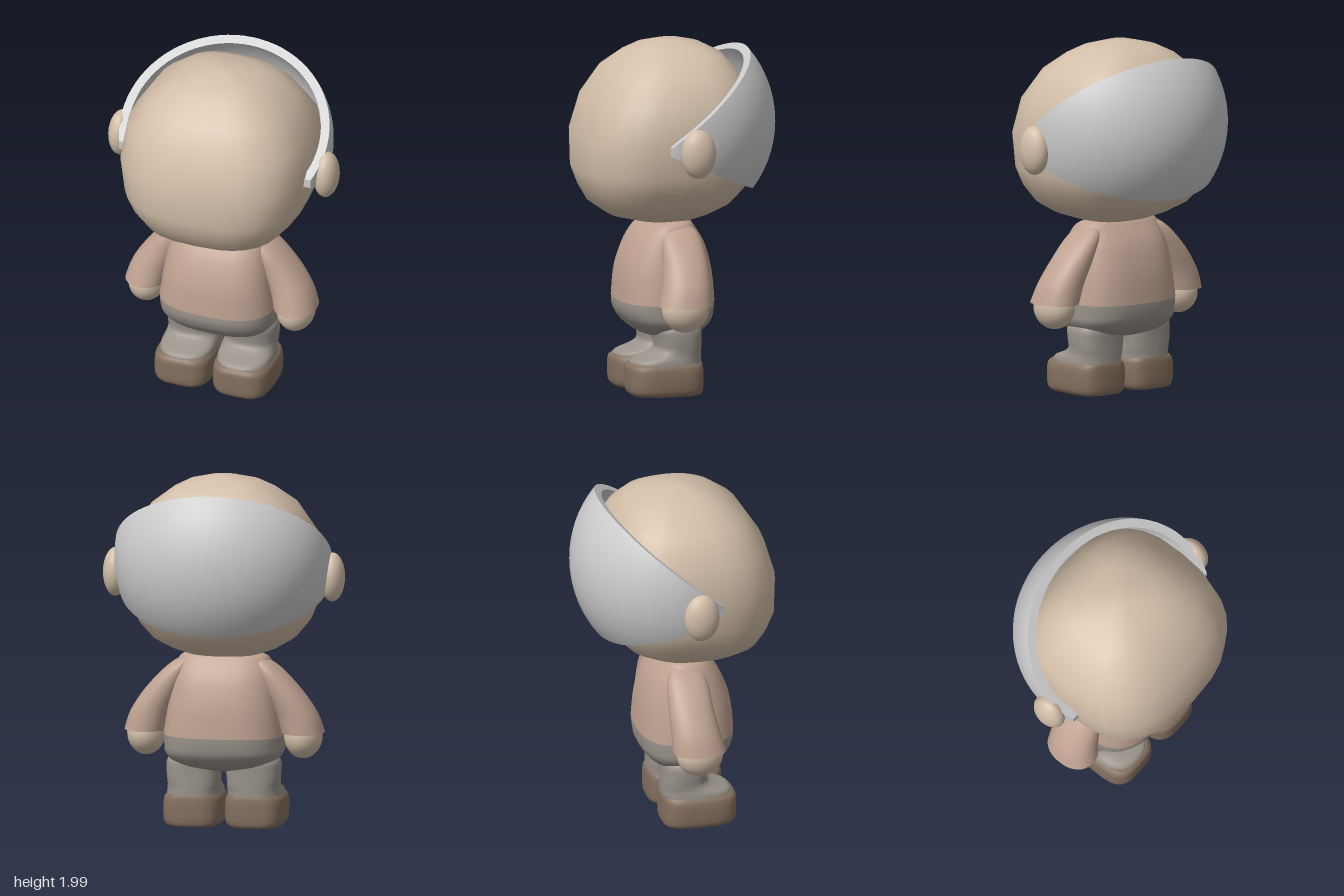
import * as THREE from 'three';
import { mergeGeometries } from 'three/addons/utils/BufferGeometryUtils.js';
import { ParametricGeometry } from 'three/addons/geometries/ParametricGeometry.js';

const material = (color) => new THREE.MeshStandardMaterial({ color, roughness: 0.8 });
const skin = material(0xd2bea8);
const shirt = material(0xbfa291);
const trousers = material(0x99938a);
const shoe = material(0x84705f);
const white = material(0xcccccc);
white.side = THREE.DoubleSide;

function add(group, name, geometry, mat) {
  const mesh = new THREE.Mesh(geometry, mat);
  mesh.name = name;
  group.add(mesh);
  return mesh;
}

// Stack of rounded-square rings; each section is [y, xMin, xMax, zMin, zMax].
// A smooth curve runs through the sections, with "rows" steps along it.
function loft(sections, { power = 2.5, segments = 32, rows = 0, flatEnds = false } = {}) {
  let rings = sections;
  if (rows) {
    rings = [];
    const last = sections.length - 1;
    for (let r = 0; r <= rows; r++) {
      const p = (r / rows) * last;
      const i = Math.min(Math.floor(p), last - 1);
      const f = p - i;
      const at = (n) => sections[Math.max(0, Math.min(last, n))];
      rings.push(sections[0].map((_, k) => {
        const [a, b, c, d] = [at(i - 1)[k], at(i)[k], at(i + 1)[k], at(i + 2)[k]];
        const m0 = (c - a) / 2, m1 = (d - b) / 2;
        return b + m0 * f + (3 * (c - b) - 2 * m0 - m1) * f * f + (2 * (b - c) + m0 + m1) * f * f * f;
      }));
    }
  }
  const positions = [], index = [];
  const round = (v) => Math.sign(v) * Math.abs(v) ** (2 / power);
  const pushRing = ([y, x0, x1, z0, z1]) => {
    const start = positions.length / 3;
    for (let j = 0; j < segments; j++) {
      const t = (j / segments) * Math.PI * 2;
      positions.push(
        (x0 + x1) / 2 + ((x1 - x0) / 2) * round(Math.cos(t)),
        y,
        (z0 + z1) / 2 + ((z1 - z0) / 2) * round(Math.sin(t))
      );
    }
    return start;
  };
  const starts = rings.map(pushRing);
  for (let i = 0; i < starts.length - 1; i++) {
    for (let j = 0; j < segments; j++) {
      const k = (j + 1) % segments;
      const a = starts[i] + j, b = starts[i] + k, c = starts[i + 1] + j, d = starts[i + 1] + k;
      index.push(a, c, b, b, c, d);
    }
  }
  // End caps, with their own rim where the edge should stay sharp
  [0, rings.length - 1].forEach((r, top) => {
    const rim = flatEnds ? pushRing(rings[r]) : starts[r];
    const [y, x0, x1, z0, z1] = rings[r];
    const centre = positions.length / 3;
    positions.push((x0 + x1) / 2, y, (z0 + z1) / 2);
    for (let j = 0; j < segments; j++) {
      const k = (j + 1) % segments;
      if (top) index.push(centre, rim + k, rim + j);
      else index.push(centre, rim + j, rim + k);
    }
  });
  const geometry = new THREE.BufferGeometry();
  geometry.setAttribute('position', new THREE.Float32BufferAttribute(positions, 3));
  geometry.setIndex(index);
  geometry.computeVertexNormals();
  return geometry;
}

// Mirror a section to the model's other side
const flip = (sections, side) =>
  sections.map(([y, a, b, z0, z1]) => (side > 0 ? [y, a, b, z0, z1] : [y, -b, -a, z0, z1]));

// Curved shell wrapped round the back of the head, tapering to a tip at each ear
function bandGeometry() {
  const R = 0.565, stretch = 0.61 / R, thickness = 0.05;
  const tipZ = 0.17, tipY = 1.44, centreY = 1.53;
  const point = (u, v, w, target) => {
    const a = THREE.MathUtils.degToRad(-24 + 63 * v);
    const rise = centreY - tipY;
    const mid = tipZ * Math.cos(a) + rise * Math.sin(a);
    const off = rise * Math.cos(a) - tipZ * Math.sin(a);
    const full = Math.sqrt(R * R - off * off);
    const r = full - thickness * w;
    const start = -Math.asin(mid / r);
    const t = start + u * (Math.PI - 2 * start);
    const d = mid + r * Math.sin(t);
    const x = (full * stretch - thickness * w) * Math.cos(t);
    target.set(x, tipY + d * Math.sin(a) + (v - 0.5) * 0.05, tipZ - d * Math.cos(a));
  };
  return mergeGeometries([
    new ParametricGeometry((u, v, p) => point(u, v, 0, p), 48, 14),
    new ParametricGeometry((u, v, p) => point(1 - u, v, 1, p), 48, 14),
    new ParametricGeometry((u, w, p) => point(u, 1, w, p), 48, 1),
    new ParametricGeometry((u, w, p) => point(1 - u, 0, w, p), 48, 1),
    new ParametricGeometry((w, v, p) => point(0, v, 1 - w, p), 1, 2),
    new ParametricGeometry((w, v, p) => point(1, v, w, p), 1, 2),
  ]);
}

export function createModel() {
  const model = new THREE.Group();
  model.name = 'bigHeadedFigure';

  // Head: coarse rings, fuller low in front
  const head = [
    [0.97, 0.1, -0.03, 0.15], [0.985, 0.2, -0.09, 0.24], [1.02, 0.3, -0.18, 0.385],
    [1.08, 0.4, -0.29, 0.475], [1.17, 0.475, -0.37, 0.525], [1.27, 0.515, -0.41, 0.562],
    [1.47, 0.545, -0.44, 0.565], [1.67, 0.515, -0.43, 0.505], [1.83, 0.41, -0.33, 0.4],
    [1.92, 0.29, -0.25, 0.285], [1.965, 0.2, -0.16, 0.2], [1.995, 0.07, -0.04, 0.09],
  ].map(([y, hx, z0, z1]) => [y, -hx, hx, z0, z1]);
  add(model, 'head', loft(head, { power: 2.7, segments: 28 }), skin);
  add(model, 'headBand', bandGeometry(), white);

  // Shirt body and the seat of the trousers
  const torso = [
    [0.53, 0.34, -0.205, 0.335], [0.7, 0.318, -0.19, 0.32], [0.85, 0.29, -0.15, 0.268],
    [0.95, 0.26, -0.09, 0.195], [0.985, 0.22, -0.06, 0.13], [1.0, 0.15, -0.01, 0.07],
  ].map(([y, hx, z0, z1]) => [y, -hx, hx, z0, z1]);
  add(model, 'shirt', loft(torso, { power: 2.7, rows: 20, flatEnds: true }), shirt);
  const hips = [
    [0.315, 0.06, 0.02, 0.1], [0.33, 0.17, -0.06, 0.16], [0.36, 0.27, -0.13, 0.235],
    [0.42, 0.328, -0.185, 0.3], [0.48, 0.337, -0.2, 0.33], [0.535, 0.338, -0.203, 0.333],
  ].map(([y, hx, z0, z1]) => [y, -hx, hx, z0, z1]);
  add(model, 'trouserSeat', loft(hips, { power: 2.7, rows: 20 }), trousers);

  // Paired parts
  const sleeve = [
    [0.545, 0.325, 0.565, -0.095, 0.205], [0.65, 0.295, 0.53, -0.095, 0.178],
    [0.77, 0.24, 0.452, -0.095, 0.156], [0.88, 0.19, 0.352, -0.085, 0.145],
    [0.94, 0.175, 0.28, -0.06, 0.11], [0.97, 0.19, 0.22, -0.02, 0.04],
  ];
  const leg = [
    [0.18, 0.015, 0.328, -0.1, 0.3], [0.21, 0.015, 0.325, -0.1, 0.285],
    [0.24, 0.018, 0.318, -0.1, 0.205], [0.27, 0.02, 0.318, -0.1, 0.16],
    [0.32, 0.015, 0.322, -0.1, 0.16], [0.38, 0.012, 0.32, -0.1, 0.17], [0.42, 0.03, 0.29, -0.08, 0.15],
  ];
  const foot = [
    [0.008, 0.05, 0.3, -0.07, 0.27], [0.015, 0.025, 0.325, -0.095, 0.3],
    [0.045, 0.008, 0.342, -0.105, 0.318], [0.12, 0.005, 0.345, -0.107, 0.32],
    [0.17, 0.01, 0.338, -0.105, 0.318], [0.192, 0.025, 0.32, -0.1, 0.3],
  ];
  for (const side of [1, -1]) {
    const label = side > 0 ? 'left' : 'right';
    const ear = add(model, `${label}Ear`, new THREE.SphereGeometry(1, 28, 20), skin);
    ear.scale.set(0.07, 0.138, 0.1);
    ear.position.set(side * 0.615, 1.432, 0.028);

    add(model, `${label}Sleeve`, loft(flip(sleeve, side), { power: 2.2, rows: 20, flatEnds: true }), shirt);
    const hand = add(model, `${label}Hand`, new THREE.SphereGeometry(1, 28, 20), skin);
    hand.scale.set(0.107, 0.125, 0.132);
    hand.position.set(side * 0.445, 0.522, 0.058);

    add(model, `${label}Leg`, loft(flip(leg, side), { power: 2.6, rows: 24 }), trousers);
    add(model, `${label}Shoe`, loft(flip(foot, side), { power: 3.4, rows: 20, flatEnds: true }), shoe);
  }
  return model;
}
